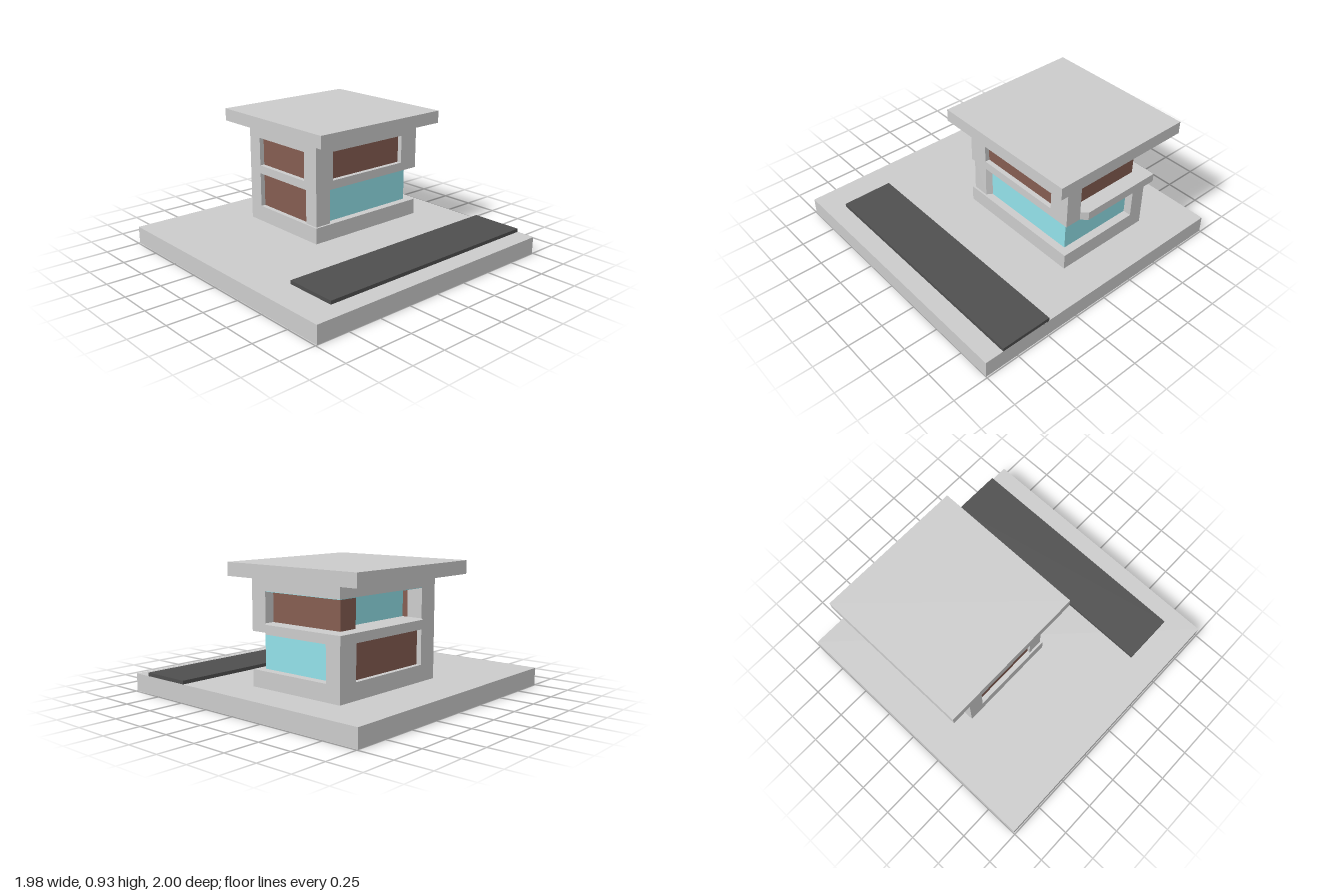
import * as THREE from 'three';

export function createModel() {
  const model = new THREE.Group();
  const paint = (color) => new THREE.MeshStandardMaterial({ color });
  const grey = paint(0xcccccc), glass = paint(0x92e1e9), wood = paint(0x855d51), asphalt = paint(0x4f4f4f);

  // Box given by its limits on each axis
  function box(name, mat, [x0, x1], [y0, y1], [z0, z1]) {
    const mesh = new THREE.Mesh(new THREE.BoxGeometry(x1 - x0, y1 - y0, z1 - z0), mat);
    mesh.position.set((x0 + x1) / 2, (y0 + y1) / 2, (z0 + z1) / 2);
    mesh.name = name;
    model.add(mesh);
  }

  // Upright prism from a plan outline of [x, z] points
  function prism(name, mat, plan, [y0, y1]) {
    const shape = new THREE.Shape(plan.map(([x, z]) => new THREE.Vector2(x, -z)));
    const geo = new THREE.ExtrudeGeometry(shape, { depth: y1 - y0, bevelEnabled: false });
    geo.rotateX(-Math.PI / 2).translate(0, y0, 0);
    const mesh = new THREE.Mesh(geo, mat);
    mesh.name = name;
    model.add(mesh);
  }

  const X = [-0.24, 0.72], Z = [-0.635, 0.105]; // house footprint
  const lower = [0.24, 0.49], upper = [0.55, 0.755];

  // Plot and driveway
  box('ground', grey, [-0.99, 0.99], [0, 0.125], [-1, 1]);
  box('driveway', asphalt, [-0.77, 0.99], [0.12, 0.15], [0.49, 0.865]);

  // Horizontal bands of the house and the overhanging roof
  box('plinth', grey, X, [0.125, 0.24], Z);
  box('floorBand', grey, X, [0.49, 0.55], Z);
  box('topBeam', grey, X, [0.755, 0.84], Z);
  box('roof', grey, [-0.315, 0.8], [0.84, 0.93], [-0.83, 0.245]);

  // Balcony slab wrapping the right and back sides, with chamfered ends
  prism('balcony', grey, [
    [0.6, -0.015], [0.72, -0.015], [0.76, -0.055], [0.76, -0.675],
    [-0.055, -0.675], [-0.095, -0.635], [-0.095, -0.5], [0.6, -0.5],
  ], [0.489, 0.551]);

  // Corner pillars
  box('backLeftPillar', grey, [-0.24, -0.095], [0.24, 0.755], [-0.635, -0.52]);
  box('lowerBackPillar', grey, [0.57, 0.72], lower, [-0.635, -0.525]);
  box('upperFrontPillar', grey, [-0.24, -0.09], upper, [-0.02, 0.105]);
  box('upperFrontPillar', grey, [0.57, 0.72], upper, [-0.015, 0.105]);
  prism('lowerFrontPillar', grey,
    [[-0.225, 0.09], [-0.105, 0.09], [-0.08, 0.05], [-0.08, -0.02], [-0.225, -0.02]], lower);

  // Frames of solid wall over and under the front wood panel
  box('frontSill', grey, [-0.09, 0.57], [0.54, 0.552], [0.0, 0.105]);

  // Lower storey: glazed front corner, wood panels on the back and left
  box('lowerGlass', glass, [-0.08, 0.66], lower, [-0.525, 0.05]);
  box('lowerBackPanel', wood, [-0.1, 0.575], lower, [-0.6, -0.53]);
  box('lowerSidePanel', wood, [-0.205, -0.1], lower, [-0.53, -0.02]);

  // Upper storey: glazed back, wood panels on the other sides
  box('upperGlass', glass, [-0.1, 0.515], upper, [-0.477, -0.02]);
  box('upperRightPanel', wood, [0.508, 0.65], upper, [-0.578, -0.015]);
  box('upperFrontPanel', wood, [-0.095, 0.575], upper, [-0.01, 0.07]);
  box('upperSidePanel', wood, [-0.205, -0.1], upper, [-0.53, -0.015]);

  // Tinted soffit above the open back corner
  prism('soffit', glass, [
    [0.64, -0.016], [0.719, -0.016], [0.719, -0.634], [-0.094, -0.634], [-0.094, -0.47], [0.64, -0.47],
  ], [0.752, 0.757]);

  return model;
}
